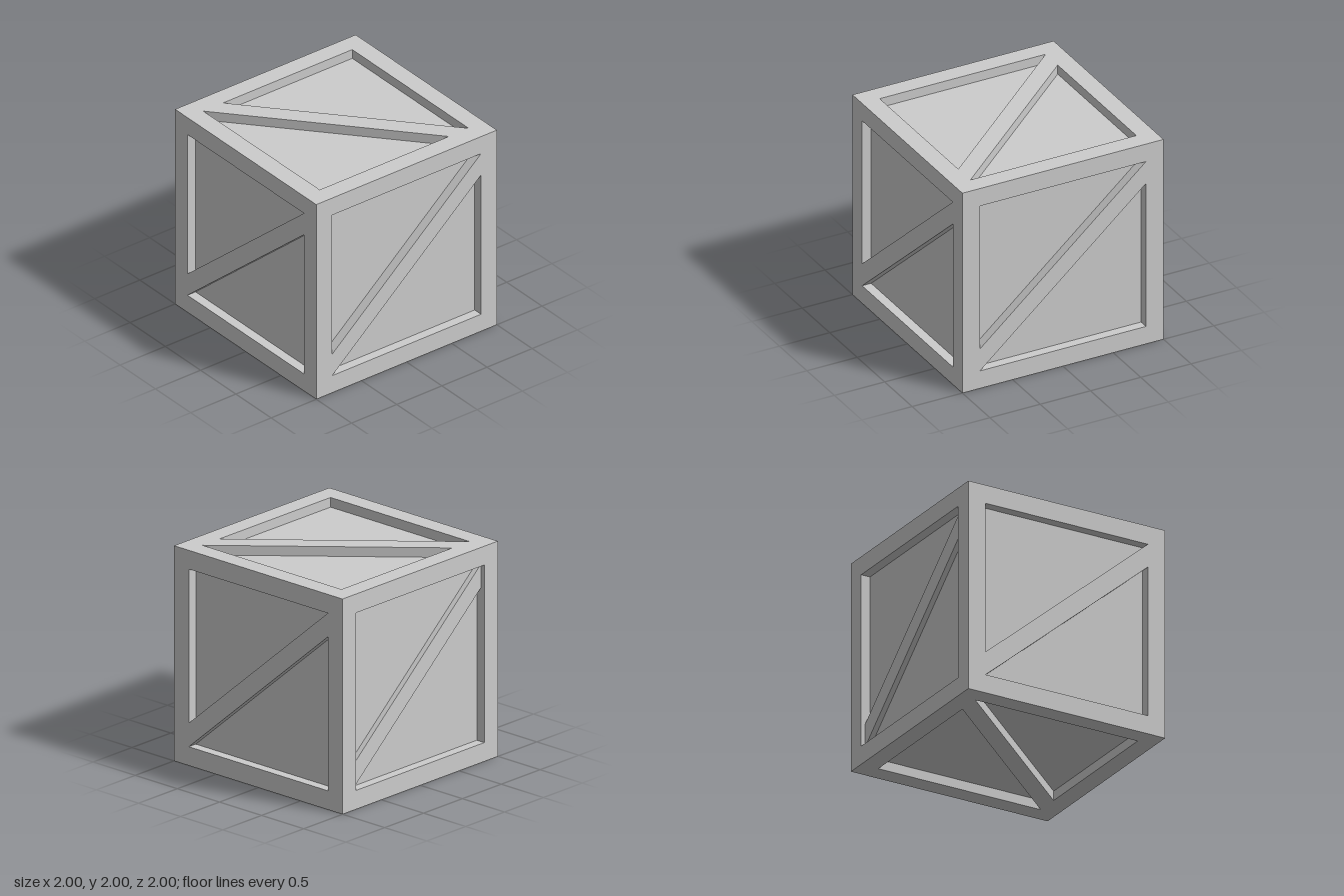
import * as THREE from 'three';

const HALF = 1, BEAM = 0.175, INNER = HALF - BEAM, RECESS = 0.09, BRACE = 0.22;

export function createModel() {
  const crate = new THREE.Group();
  crate.name = 'crate';
  const material = new THREE.MeshStandardMaterial({ color: 0xcccccc, flatShading: true });

  const add = (name, geometry, parent = crate) => {
    const mesh = new THREE.Mesh(geometry, material);
    mesh.name = name;
    parent.add(mesh);
    return mesh;
  };

  // Sunken panels on all six sides
  const core = 2 * (HALF - RECESS);
  add('panels', new THREE.BoxGeometry(core, core, core));

  // Edge frame: four posts, and rails fitted between them
  const frame = new THREE.Group();
  frame.name = 'frame';
  crate.add(frame);
  const c = HALF - BEAM / 2;
  for (const a of [-c, c]) {
    for (const b of [-c, c]) {
      add('cornerPost', new THREE.BoxGeometry(BEAM, 2 * HALF, BEAM), frame).position.set(a, 0, b);
      add('crossRail', new THREE.BoxGeometry(2 * INNER, BEAM, BEAM), frame).position.set(0, a, b);
      add('sideRail', new THREE.BoxGeometry(BEAM, BEAM, 2 * INNER), frame).position.set(a, b, 0);
    }
  }

  // Diagonal brace with upright ends, lying in the recess of the +z face
  const braceGeometry = (mirror, inset) => {
    const shape = new THREE.Shape([
      [-INNER, -INNER], [INNER, INNER - BRACE], [INNER, INNER], [-INNER, -INNER + BRACE],
    ].map(([u, v]) => new THREE.Vector2(mirror * u, v)));
    const geometry = new THREE.ExtrudeGeometry(shape, { depth: RECESS - inset, bevelEnabled: false });
    return geometry.translate(0, 0, HALF - RECESS);
  };

  // One brace per face: turn in its plane, then tip and turn to the face
  const Q = Math.PI / 2;
  const braces = [
    { name: 'frontBrace' },
    { name: 'leftBrace', ry: Q },
    { name: 'backBrace', ry: 2 * Q, inset: 0.04 },
    { name: 'rightBrace', ry: -Q },
    { name: 'topBrace', rx: -Q, rz: Q },
    { name: 'bottomBrace', rx: Q, rz: Q, mirror: -1 },
  ];
  for (const { name, rx = 0, ry = 0, rz = 0, mirror = 1, inset = 0 } of braces) {
    add(name, braceGeometry(mirror, inset).rotateZ(rz).rotateX(rx).rotateY(ry));
  }

  crate.children.forEach((part) => { part.position.y += HALF; });
  return crate;
}
